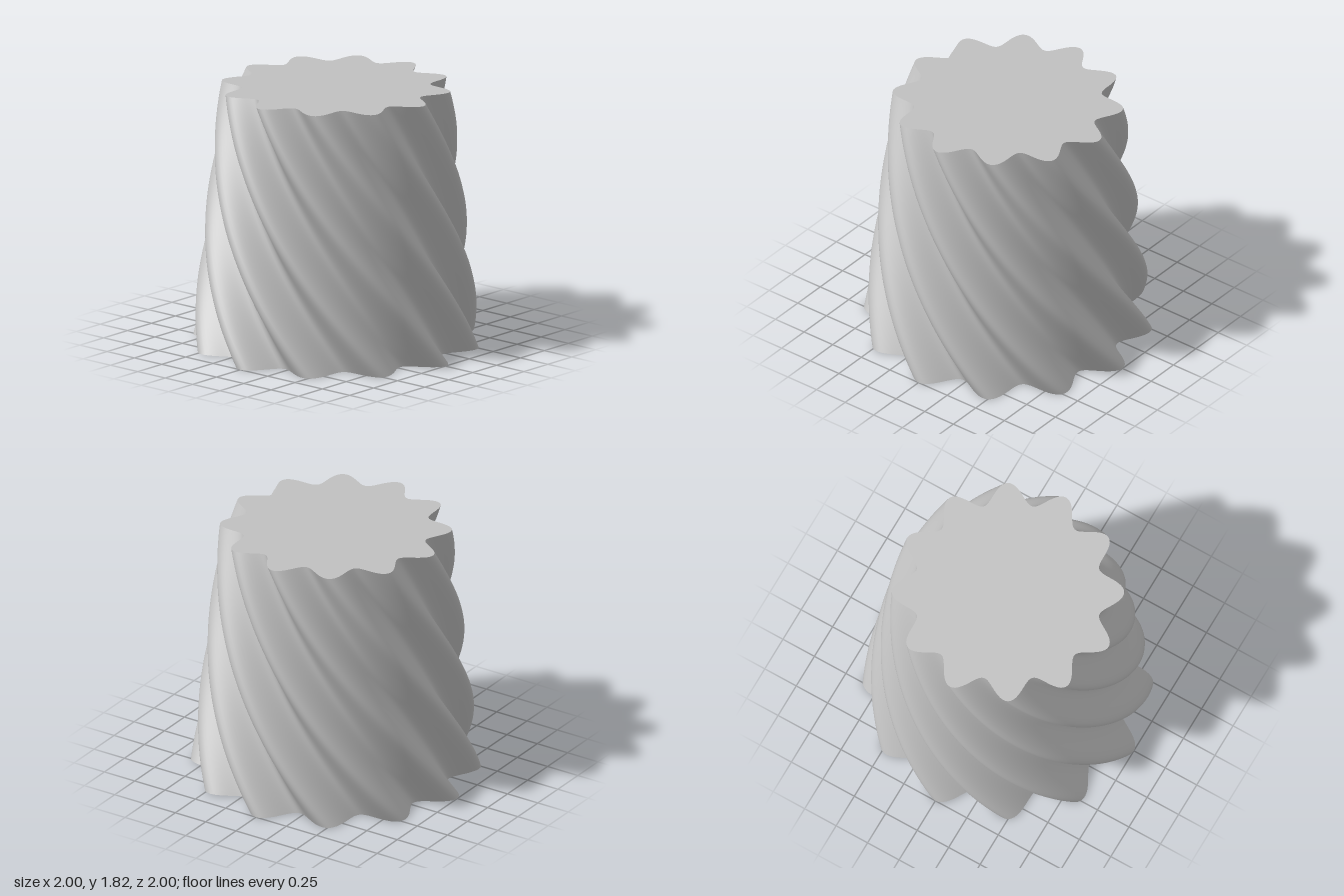
import * as THREE from 'three';

const HEIGHT = 1.82;
const LOBES = 12;
const TWIST = Math.PI / 2; // total turn from base to top
const TAPER = 0.2; // fraction of radius lost at the top
const SIDES = 288;
const LEVELS = 96;

// Point on the lobed outline at side i, at height fraction t
function outlinePoint(i, t) {
  const a = (i / SIDES) * Math.PI * 2;
  const r = (0.90625 + 0.09375 * Math.cos(LOBES * a)) * (1 - TAPER * t);
  const turned = a + TWIST * t;
  return [r * Math.cos(turned), t * HEIGHT, r * Math.sin(turned)];
}

function makeGeometry(positions, index) {
  const geometry = new THREE.BufferGeometry();
  geometry.setAttribute('position', new THREE.Float32BufferAttribute(positions, 3));
  geometry.setIndex(index);
  geometry.computeVertexNormals();
  return geometry;
}

// Smooth twisted wall, closed around without a seam
function wallGeometry() {
  const positions = [];
  const index = [];
  for (let j = 0; j <= LEVELS; j++) {
    for (let i = 0; i < SIDES; i++) positions.push(...outlinePoint(i, j / LEVELS));
  }
  for (let j = 0; j < LEVELS; j++) {
    for (let i = 0; i < SIDES; i++) {
      const next = (i + 1) % SIDES;
      const a = j * SIDES + i;
      const b = j * SIDES + next;
      index.push(a, a + SIDES, b, b, a + SIDES, b + SIDES);
    }
  }
  return makeGeometry(positions, index);
}

// Flat lobed cap, as a fan around the axis
function capGeometry(t, facesUp) {
  const positions = [0, t * HEIGHT, 0];
  const index = [];
  for (let i = 0; i < SIDES; i++) {
    positions.push(...outlinePoint(i, t));
    const cur = i + 1;
    const next = ((i + 1) % SIDES) + 1;
    if (facesUp) index.push(0, next, cur);
    else index.push(0, cur, next);
  }
  return makeGeometry(positions, index);
}

export function createModel() {
  const group = new THREE.Group();
  group.name = 'twistedFlutedColumn';
  const grey = new THREE.MeshStandardMaterial({ color: 0xc0c0c0 });
  grey.name = 'light grey';

  const add = (name, geometry) => {
    const mesh = new THREE.Mesh(geometry, grey);
    mesh.name = name;
    group.add(mesh);
  };
  add('flutedWall', wallGeometry());
  add('topCap', capGeometry(1, true));
  add('bottomCap', capGeometry(0, false));
  return group;
}
